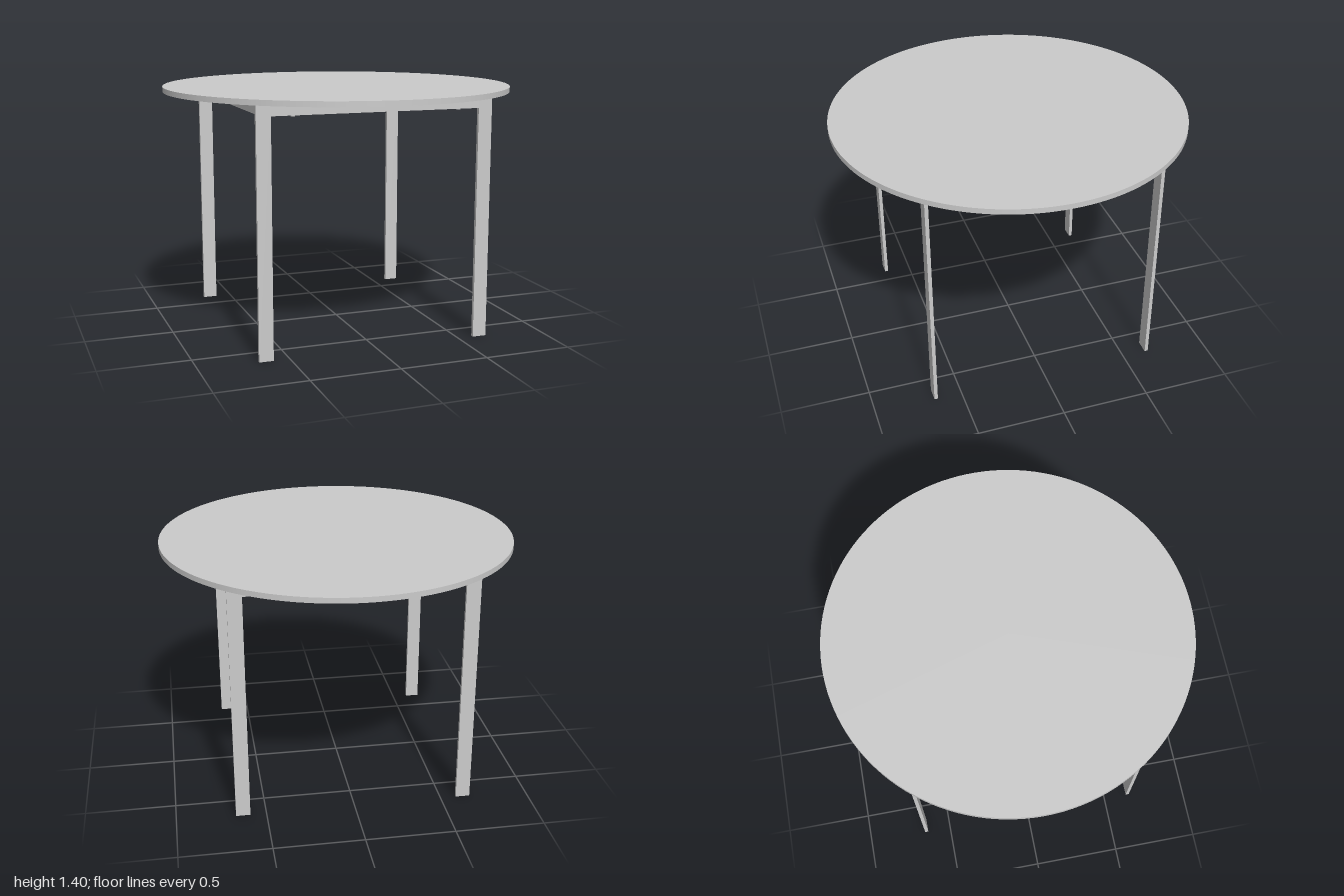
import * as THREE from 'three';

const TOP_Y = 1.4, TOP_THICK = 0.03, UNDER_Y = TOP_Y - TOP_THICK;
const LEG_X = 0.63, LEG_Z = 0.65, LEG_W = 0.08, BAR = 0.02;
const APRON_H = 0.065;

export function createModel() {
  const table = new THREE.Group();
  table.name = 'roundTable';
  const material = new THREE.MeshStandardMaterial({ color: 0xcccccc });

  const add = (name, geometry, x, y, z) => {
    const mesh = new THREE.Mesh(geometry, material);
    mesh.name = name;
    mesh.position.set(x, y, z);
    table.add(mesh);
    return mesh;
  };

  // Thin round top
  add('tabletop', new THREE.CylinderGeometry(1, 1, TOP_THICK, 128), 0, TOP_Y - TOP_THICK / 2, 0);

  const legGeo = new THREE.BoxGeometry(LEG_W, UNDER_Y, BAR);
  const longApronGeo = new THREE.BoxGeometry(2 * LEG_X - LEG_W, APRON_H, BAR);
  const sideApronGeo = new THREE.BoxGeometry(BAR, APRON_H, 2 * LEG_Z - BAR);
  const studGeo = new THREE.CylinderGeometry(0.012, 0.012, 0.006, 16);
  const apronY = UNDER_Y - APRON_H / 2;

  for (const s of [1, -1]) {
    // Aprons along the front and back, flush with the legs
    const end = s > 0 ? 'front' : 'back';
    add(end + 'Apron', longApronGeo, 0, apronY, s * LEG_Z);

    // Aprons along the sides, meeting the legs at their middle
    add(s > 0 ? 'leftApron' : 'rightApron', sideApronGeo, s * LEG_X, apronY, 0);

    for (const x of [1, -1]) {
      const side = x > 0 ? 'Left' : 'Right';
      // Flat bar legs
      add(end + side + 'Leg', legGeo, x * LEG_X, UNDER_Y / 2, s * LEG_Z);
      // Small screw heads under the front and back aprons
      add(end + side + 'Screw', studGeo, x * 0.47, UNDER_Y - APRON_H - 0.002, s * LEG_Z);
    }
  }
  return table;
}
